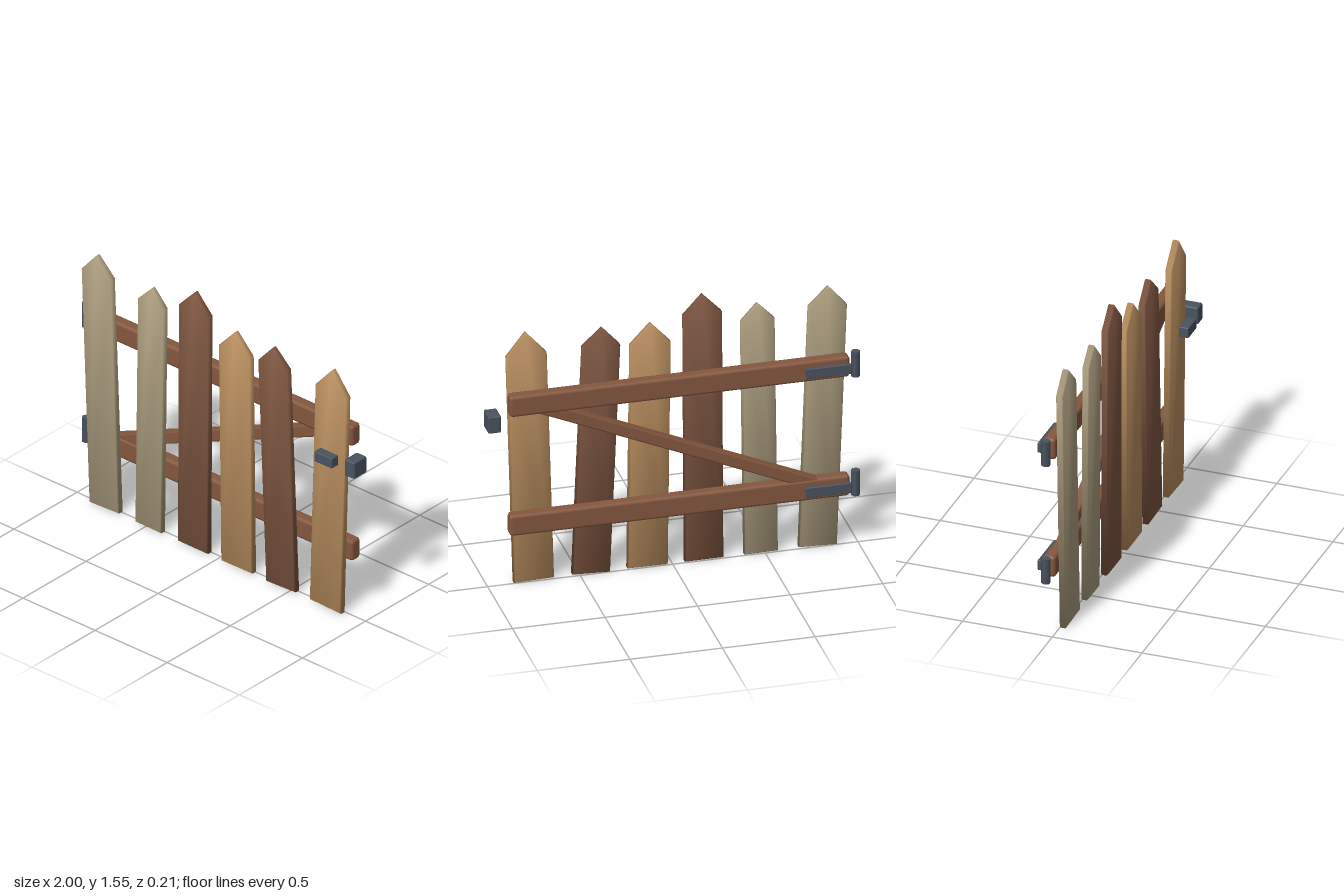
import * as THREE from 'three';
import { mergeVertices } from 'three/addons/utils/BufferGeometryUtils.js';
import { RoundedBoxGeometry } from 'three/addons/geometries/RoundedBoxGeometry.js';

function material(name, color) {
  const m = new THREE.MeshStandardMaterial({ color });
  m.name = name;
  return m;
}

// Soft normals: every corner averages its faces, weighted by corner angle
function soften(source) {
  source.deleteAttribute('normal');
  source.deleteAttribute('uv');
  const geo = mergeVertices(source, 1e-4);
  geo.clearGroups();
  const pos = geo.attributes.position, idx = geo.index;
  const sums = Array.from({ length: pos.count }, () => new THREE.Vector3());
  const p = [0, 1, 2].map(() => new THREE.Vector3());
  const u = new THREE.Vector3(), v = new THREE.Vector3(), n = new THREE.Vector3();
  for (let f = 0; f < idx.count; f += 3) {
    p.forEach((q, k) => q.fromBufferAttribute(pos, idx.getX(f + k)));
    n.crossVectors(u.subVectors(p[1], p[0]), v.subVectors(p[2], p[0]));
    if (n.lengthSq() < 1e-16) continue;
    n.normalize();
    for (let k = 0; k < 3; k++) {
      u.subVectors(p[(k + 1) % 3], p[k]);
      v.subVectors(p[(k + 2) % 3], p[k]);
      sums[idx.getX(f + k)].addScaledVector(n, u.angleTo(v));
    }
  }
  const normals = new Float32Array(pos.count * 3);
  sums.forEach((s, i) => s.normalize().toArray(normals, i * 3));
  geo.setAttribute('normal', new THREE.BufferAttribute(normals, 3));
  return geo;
}

// Pointed board with its bottom centre at the origin
function picketGeometry(width, shoulder, tip, depth = 0.039, bevel = 0.006) {
  const w = width / 2;
  const shape = new THREE.Shape([
    new THREE.Vector2(-w, 0), new THREE.Vector2(w, 0), new THREE.Vector2(w, shoulder),
    new THREE.Vector2(0, tip), new THREE.Vector2(-w, shoulder),
  ]);
  const geo = new THREE.ExtrudeGeometry(shape, {
    depth: depth - 2 * bevel, bevelEnabled: true, bevelSegments: 1,
    bevelSize: bevel, bevelThickness: bevel, bevelOffset: -bevel,
  });
  geo.translate(0, 0, bevel);
  return soften(geo);
}

export function createModel() {
  const gate = new THREE.Group();
  gate.name = 'gate';

  const grey = material('weathered wood', 0xab9c7e);
  const tan = material('tan wood', 0xb98e5f);
  const brown = material('brown wood', 0x7d5540);
  const railWood = material('rail wood', 0x85573f);
  const iron = material('iron', 0x4a535f);

  const add = (name, geo, mat, x, y, z, tilt = 0) => {
    const mesh = new THREE.Mesh(geo, mat);
    mesh.name = name;
    mesh.position.set(x, y, z);
    mesh.rotation.z = tilt;
    gate.add(mesh);
    return mesh;
  };
  const block = (w, h, d, r) => new RoundedBoxGeometry(w, h, d, 1, r);

  // Uneven pickets: x, width, shoulder height, tip height, tilt, wood
  [
    [-0.784, 0.206, 1.395, 1.505, 0.039, grey],
    [-0.478, 0.181, 1.36, 1.456, -0.013, grey],
    [-0.17, 0.208, 1.436, 1.547, -0.005, brown],
    [0.135, 0.217, 1.3, 1.416, 0.0123, tan],
    [0.44, 0.204, 1.32, 1.425, 0.042, brown],
    [0.749, 0.217, 1.32, 1.45, -0.03, tan],
  ].forEach(([x, w, shoulder, tip, tilt, wood], i) => {
    add(`picket${i + 1}`, picketGeometry(w, shoulder, tip), wood, x, 0.006, -0.003, tilt);
  });

  // Two rails, each with a hinge strap and a six-sided hinge pin
  [['lower', 0.376], ['upper', 1.071]].forEach(([level, y]) => {
    add(`${level}Rail`, block(1.836, 0.122, 0.07, 0.018), railWood, -0.019, y, -0.044);
    add(`${level}HingeStrap`, block(0.246, 0.059, 0.021, 0.005), iron, -0.815, y, -0.096);
    const pin = add(`${level}HingePin`, new THREE.CylinderGeometry(0.025, 0.025, 0.145, 6), iron, -0.975, y, -0.045);
    pin.rotation.y = Math.PI / 6;
  });

  // Diagonal brace, ending inside the rails
  add('brace', block(1.64, 0.069, 0.058, 0.01), railWood, -0.02, 0.721, -0.045, Math.atan(0.433));

  // Latch bar and catch
  add('latch', block(0.124, 0.06, 0.054, 0.006), iron, 0.797, 0.947, 0.08);
  add('latchCatch', block(0.07, 0.098, 0.1, 0.008), iron, 0.964, 0.947, 0.038);

  return gate;
}
